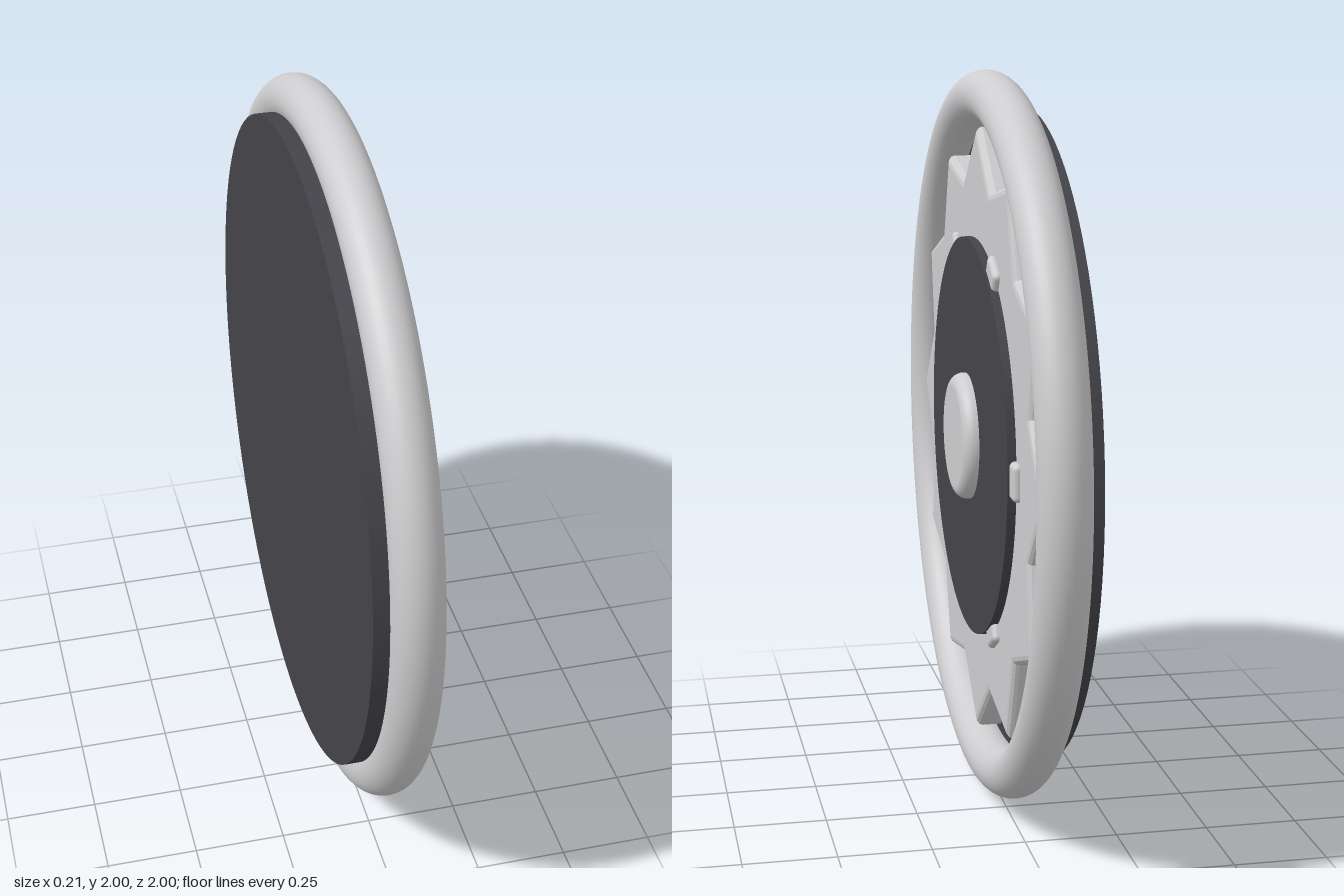
import * as THREE from 'three';
import { RoundedBoxGeometry } from 'three/addons/geometries/RoundedBoxGeometry.js';

const light = new THREE.MeshStandardMaterial({ color: 0xcdcdcf });
light.name = 'light grey';
const dark = new THREE.MeshStandardMaterial({ color: 0x444349 });
dark.name = 'charcoal';

function add(parent, name, geometry, material) {
  const mesh = new THREE.Mesh(geometry, material);
  mesh.name = name;
  parent.add(mesh);
  return mesh;
}

// Flat disc with its axis along z, from z0 to z1
function disc(radius, z0, z1) {
  return new THREE.CylinderGeometry(radius, radius, z1 - z0, 96)
    .rotateX(Math.PI / 2)
    .translate(0, 0, (z0 + z1) / 2);
}

// Twelve-pointed star outline
function starShape(points, outer, inner) {
  const shape = new THREE.Shape();
  for (let i = 0; i < points * 2; i++) {
    const a = (i * Math.PI) / points;
    const r = i % 2 ? inner : outer;
    if (i === 0) shape.moveTo(r, 0);
    else shape.lineTo(r * Math.cos(a), r * Math.sin(a));
  }
  shape.closePath();
  return shape;
}

export function createModel() {
  const model = new THREE.Group();
  model.name = 'wheel';

  // Built facing +z, then turned so the face looks along +x
  const wheel = new THREE.Group();
  wheel.name = 'wheelBody';
  wheel.position.y = 1;
  wheel.rotation.y = Math.PI / 2;
  model.add(wheel);

  // Outer ring and backing plate
  add(wheel, 'outerRing', new THREE.TorusGeometry(0.932, 0.068, 32, 128), light);
  add(wheel, 'backPlate', disc(0.9, -0.105, -0.035), dark);

  // Star plate with bevelled edges
  const star = new THREE.ExtrudeGeometry(starShape(12, 0.85, 0.715), {
    depth: 0.08, bevelEnabled: true, bevelSize: 0.022, bevelOffset: -0.022,
    bevelThickness: 0.02, bevelSegments: 3,
  });
  star.translate(0, 0, -0.063);
  add(wheel, 'starPlate', star, light);

  // Six small clips around the inner disc
  for (let i = 0; i < 6; i++) {
    const a = (i * Math.PI) / 3;
    const clip = add(wheel, 'clip', new RoundedBoxGeometry(0.1, 0.1, 0.05, 3, 0.015), light);
    clip.position.set(0.545 * Math.cos(a), 0.545 * Math.sin(a), 0.03);
    clip.rotation.z = a;
  }

  // Inner disc
  add(wheel, 'innerDisc', disc(0.55, 0.0, 0.06), dark);

  // Hub cap with a rounded rim
  const profile = [new THREE.Vector2(0.175, 0.03)];
  for (let i = 0; i <= 8; i++) {
    const a = (i / 8) * (Math.PI / 2);
    profile.push(new THREE.Vector2(0.14 + 0.035 * Math.cos(a), 0.067 + 0.035 * Math.sin(a)));
  }
  profile.push(new THREE.Vector2(0, 0.102));
  add(wheel, 'hubCap', new THREE.LatheGeometry(profile, 64).rotateX(Math.PI / 2), light);

  return model;
}
